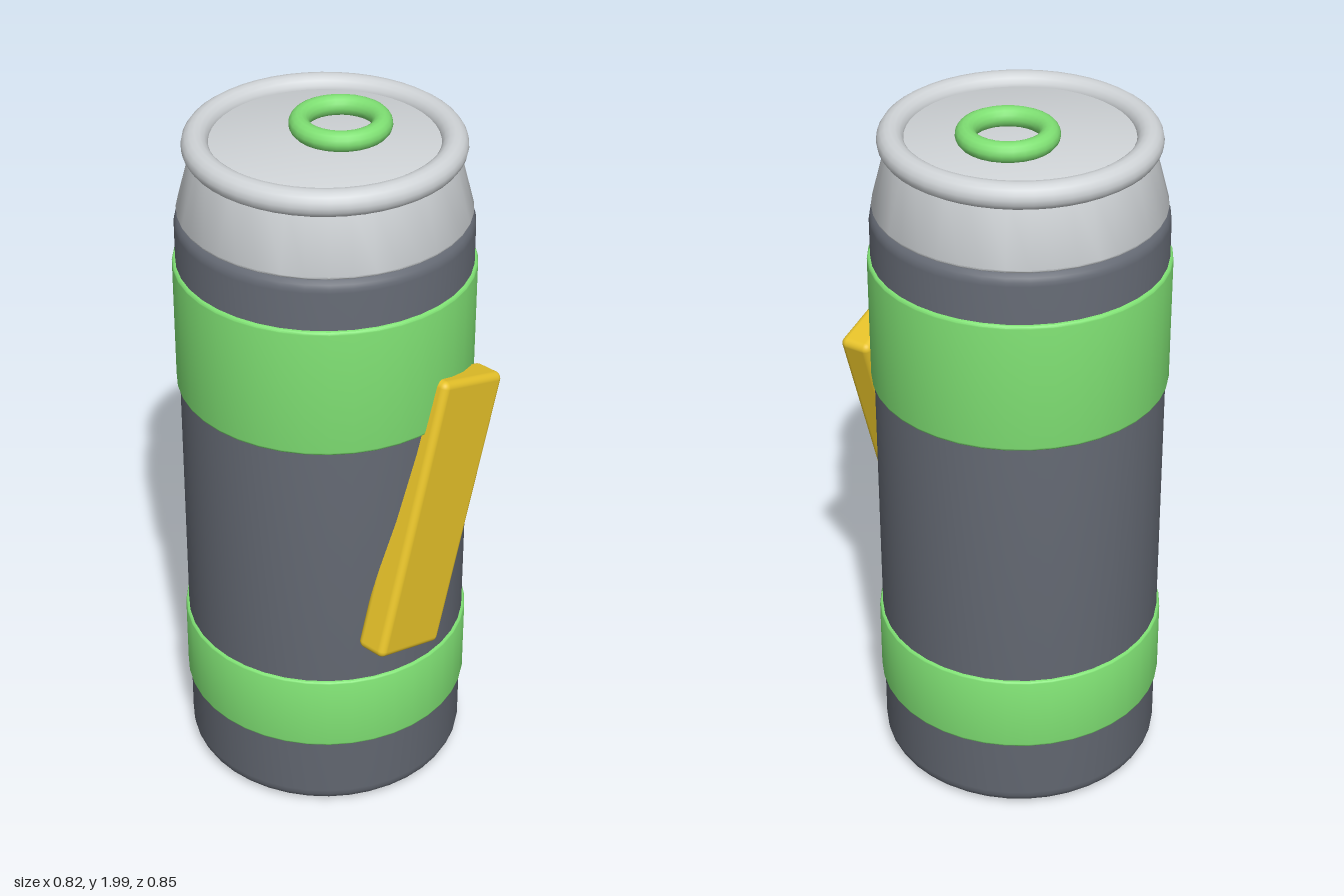
import * as THREE from 'three';
import { toCreasedNormals } from 'three/addons/utils/BufferGeometryUtils.js';
import { RoundedBoxGeometry } from 'three/addons/geometries/RoundedBoxGeometry.js';

const SIDES = 40;
const mat = (color) => new THREE.MeshStandardMaterial({ color });

// Quarter-round corner points around (r, y), from angle a0 to a1 in degrees
function corner(r, y, radius, a0, a1, steps = 5) {
  return Array.from({ length: steps + 1 }, (_, i) => {
    const a = THREE.MathUtils.degToRad(a0 + ((a1 - a0) * i) / steps);
    return [r + radius * Math.cos(a), y + radius * Math.sin(a)];
  });
}

// Revolved solid with rounded lower and upper edges; rIn = 0 closes it at the axis
function turned(rIn, rBottom, rTop, y0, y1, bevelBottom, bevelTop) {
  const profile = [
    [rIn, y0],
    ...corner(rBottom - bevelBottom, y0 + bevelBottom, bevelBottom, -90, 0),
    ...corner(rTop - bevelTop, y1 - bevelTop, bevelTop, 0, 90),
    [rIn, y1],
  ].map(([x, y]) => new THREE.Vector2(x, y));
  return toCreasedNormals(new THREE.LatheGeometry(profile, SIDES), 0.5);
}

export function createModel() {
  const model = new THREE.Group();
  const can = new THREE.Group();
  can.name = 'can';
  can.position.z = -0.016;
  model.add(can);

  const dark = mat(0x646973);
  const green = mat(0x7fe073);
  const silver = mat(0xd0d4d7);
  const gold = mat(0xe6c229);

  const add = (parent, name, geometry, material) => {
    const mesh = new THREE.Mesh(geometry, material);
    mesh.name = name;
    parent.add(mesh);
    return mesh;
  };

  // Main cylinder
  add(can, 'body', turned(0, 0.4, 0.4, 0.005, 1.75, 0.05, 0.035), dark);

  // Coloured bands
  add(can, 'lowerBand', turned(0.385, 0.409, 0.409, 0.232, 0.465, 0.01, 0.01), green);
  add(can, 'upperBand', turned(0.385, 0.409, 0.409, 1.23, 1.607, 0.01, 0.01), green);

  // Tapered neck with its flat lid
  add(can, 'neckAndLid', turned(0, 0.393, 0.345, 1.748, 1.945, 0.01, 0.004), silver);

  // Rolled rim and pull ring
  const rim = add(can, 'rim', new THREE.TorusGeometry(0.338, 0.036, 16, 48), silver);
  rim.rotation.x = Math.PI / 2;
  rim.position.y = 1.94;
  const ring = add(can, 'pullRing', new THREE.TorusGeometry(0.109, 0.028, 14, 28), green);
  ring.rotation.x = Math.PI / 2;
  ring.position.set(0.06, 1.972, 0);

  // Slanted plate on the front
  const plate = add(model, 'slantedPlate', new RoundedBoxGeometry(0.25, 0.82, 0.095, 4, 0.02), gold);
  plate.rotation.z = -0.3;
  plate.position.set(0, 0.956, 0.375);

  return model;
}
